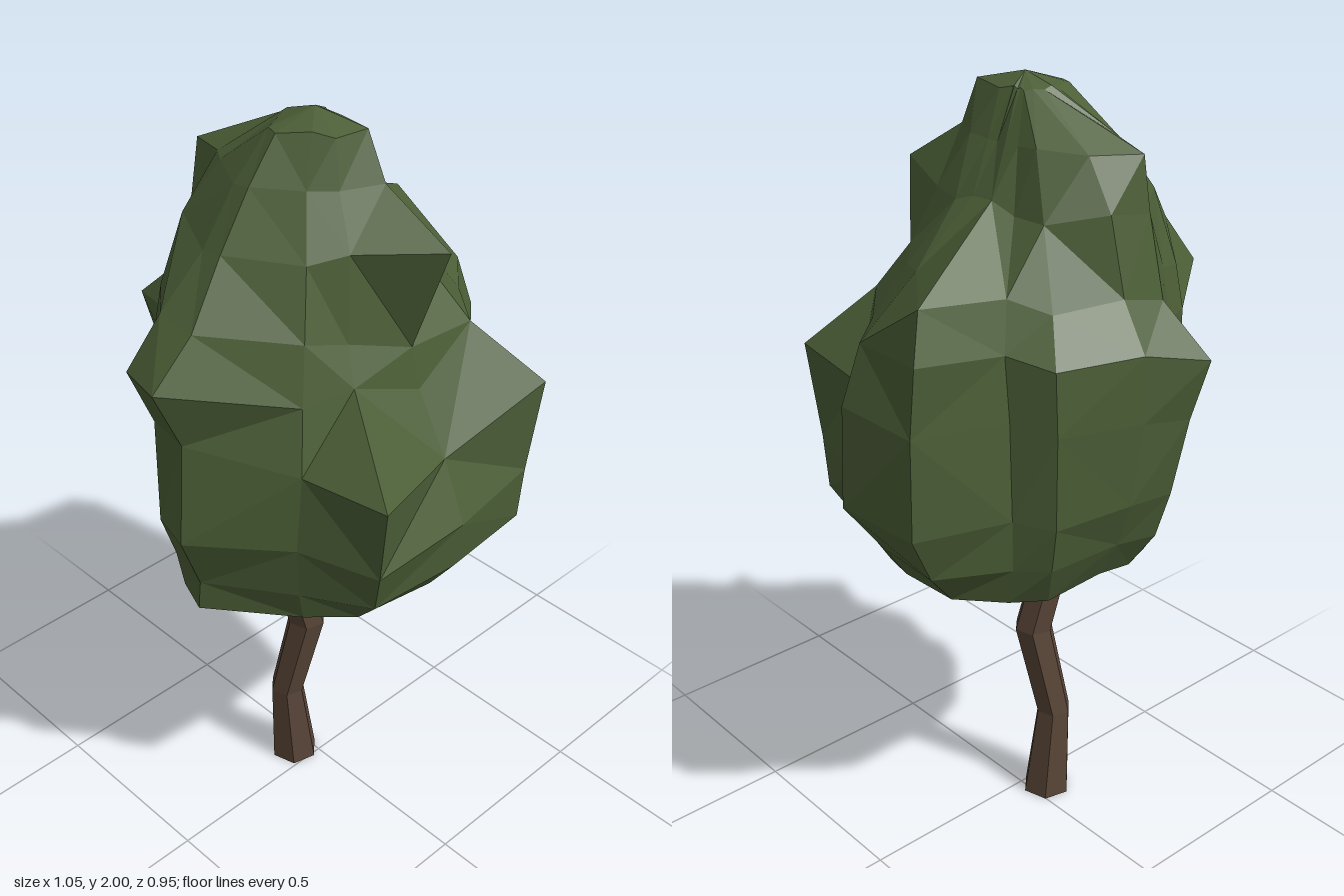
import * as THREE from 'three';

const leafMat = new THREE.MeshStandardMaterial({ color: 0x4c5f37, flatShading: true });
leafMat.name = 'leaf green';
const barkMat = new THREE.MeshStandardMaterial({ color: 0x594537, flatShading: true });
barkMat.name = 'bark brown';

// Skins a stack of rings (arrays of Vector3, bottom to top) and closes both ends with a point.
// Each quad is split along its shorter diagonal.
function skin(rings, bottom, top) {
  const pos = [];
  const tri = (...pts) => pts.forEach((p) => pos.push(p.x, p.y, p.z));
  const n = rings[0].length;
  const last = rings.length - 1;
  for (let j = 0; j < n; j++) {
    const k = (j + 1) % n;
    tri(rings[0][j], rings[0][k], bottom);
    for (let i = 0; i < last; i++) {
      const a = rings[i][j], b = rings[i][k], c = rings[i + 1][k], d = rings[i + 1][j];
      if (b.distanceTo(d) < a.distanceTo(c)) {
        tri(a, d, b);
        tri(b, d, c);
      } else {
        tri(a, d, c);
        tri(a, c, b);
      }
    }
    tri(rings[last][j], top, rings[last][k]);
  }
  const geo = new THREE.BufferGeometry();
  geo.setAttribute('position', new THREE.Float32BufferAttribute(pos, 3));
  geo.computeVertexNormals();
  return geo;
}

// Small repeatable noise in -1..1
function noise(i, j) {
  const s = Math.sin(i * 127.1 + j * 311.7) * 43758.5453;
  return (s - Math.floor(s)) * 2 - 1;
}

// Crooked trunk: [x, y, z, radius] along its length
function makeTrunk() {
  const path = [
    [-0.045, 0, -0.055, 0.067],
    [-0.065, 0.26, -0.06, 0.048],
    [-0.03, 0.52, -0.015, 0.053],
    [-0.08, 0.74, -0.04, 0.05],
    [-0.1, 0.85, -0.05, 0.04],
  ];
  const rings = path.map(([x, y, z, r]) =>
    Array.from({ length: 6 }, (_, j) => {
      const a = (j / 6) * Math.PI * 2 + 0.25;
      return new THREE.Vector3(x + r * Math.cos(a), y, z + r * Math.sin(a));
    }));
  const centre = ([x, y, z]) => new THREE.Vector3(x, y, z);
  return skin(rings, centre(path[0]), centre(path[path.length - 1]));
}

// Lumpy crown: lobe directions in degrees (from +x towards +z) and radii at each height
function makeCrown() {
  const angles = [4, 22, 50, 84, 118, 141, 176, 190, 222, 233, 251, 270, 300, 316, 338];
  const heights = [0.74, 0.81, 0.91, 1.04, 1.27, 1.43, 1.55, 1.73, 1.86, 1.97];
  // How far each lobe's shoulder sits above or below the shared heights
  const lift = [0.04, 0.03, 0.05, -0.06, -0.01, 0, 0.05, 0.04, 0, 0, -0.03, 0, 0, 0.02, 0.04];
  const radii = [
    [0.20, 0.20, 0.22, 0.21, 0.20, 0.22, 0.28, 0.25, 0.20, 0.18, 0.16, 0.13, 0.15, 0.18, 0.20],
    [0.36, 0.35, 0.43, 0.36, 0.35, 0.35, 0.43, 0.40, 0.34, 0.32, 0.31, 0.29, 0.32, 0.34, 0.38],
    [0.42, 0.39, 0.51, 0.43, 0.45, 0.38, 0.43, 0.42, 0.36, 0.35, 0.38, 0.35, 0.38, 0.37, 0.46],
    [0.525, 0.44, 0.52, 0.45, 0.50, 0.40, 0.49, 0.46, 0.38, 0.36, 0.42, 0.40, 0.41, 0.38, 0.53],
    [0.51, 0.41, 0.55, 0.38, 0.535, 0.39, 0.46, 0.45, 0.39, 0.36, 0.46, 0.42, 0.42, 0.37, 0.53],
    [0.46, 0.37, 0.36, 0.30, 0.30, 0.35, 0.53, 0.51, 0.39, 0.36, 0.50, 0.42, 0.41, 0.36, 0.53],
    [0.30, 0.28, 0.27, 0.28, 0.26, 0.31, 0.42, 0.42, 0.37, 0.34, 0.37, 0.34, 0.33, 0.32, 0.48],
    [0.14, 0.16, 0.20, 0.37, 0.23, 0.25, 0.31, 0.31, 0.31, 0.30, 0.33, 0.30, 0.24, 0.17, 0.15],
    [0.07, 0.08, 0.12, 0.19, 0.17, 0.18, 0.22, 0.22, 0.22, 0.23, 0.31, 0.23, 0.15, 0.10, 0.08],
    [0.02, 0.02, 0.05, 0.14, 0.14, 0.12, 0.14, 0.13, 0.08, 0.07, 0.06, 0.04, 0.03, 0.02, 0.02],
  ];
  const rings = radii.map((row, i) => row.map((r, j) => {
    const a = THREE.MathUtils.degToRad(angles[j] + 1.5 * noise(i, j));
    const shoulder = i > 3 && i < 7;
    const y = heights[i] + (shoulder ? lift[j] : 0) + (i > 7 ? 0.006 : 0.015) * noise(j + 20, i);
    return new THREE.Vector3(r * Math.cos(a), y, r * Math.sin(a));
  }));
  return skin(rings, new THREE.Vector3(-0.04, 0.675, 0.04), new THREE.Vector3(-0.03, 2, 0.02));
}

export function createModel() {
  const tree = new THREE.Group();
  tree.name = 'tree';
  const trunk = new THREE.Mesh(makeTrunk(), barkMat);
  trunk.name = 'trunk';
  const crown = new THREE.Mesh(makeCrown(), leafMat);
  crown.name = 'crown';
  tree.add(trunk, crown);
  return tree;
}
